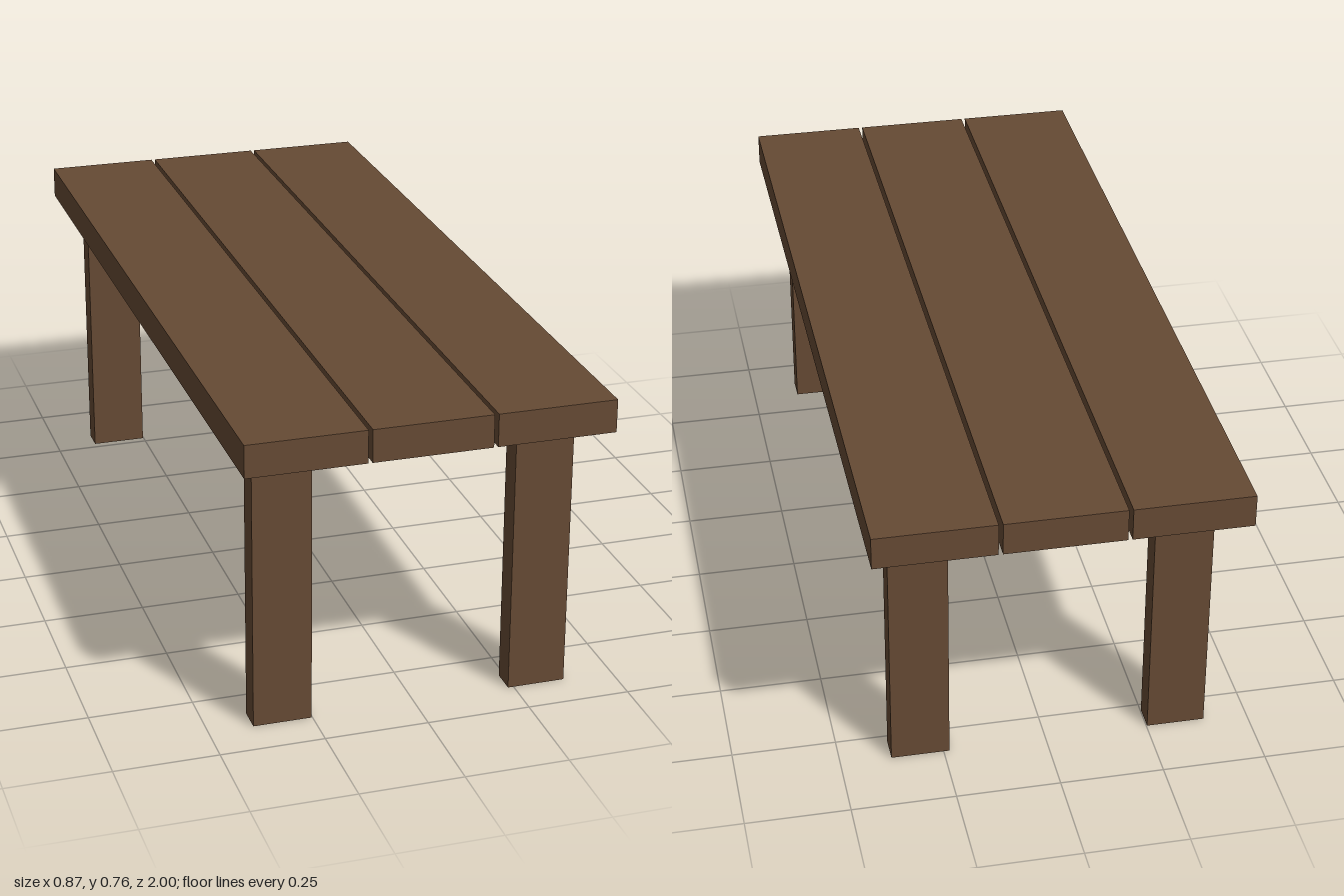
import * as THREE from 'three';

export function createModel() {
  const table = new THREE.Group();
  table.name = 'plankTable';
  const wood = new THREE.MeshStandardMaterial({ color: 0x664a34 });
  wood.name = 'brown wood';

  // Box given by its [min, max] range on each axis
  function board(name, x, y, z) {
    const size = [x, y, z].map(([a, b]) => b - a);
    const mesh = new THREE.Mesh(new THREE.BoxGeometry(...size), wood);
    mesh.position.set(...[x, y, z].map(([a, b]) => (a + b) / 2));
    mesh.name = name;
    table.add(mesh);
  }

  // Three long planks with narrow gaps
  const planks = [['rightPlank', -0.437, -0.153], ['middlePlank', -0.143, 0.142], ['leftPlank', 0.152, 0.437]];
  for (const [name, a, b] of planks) board(name, [a, b], [0.681, 0.761], [-1, 1]);

  // Cross braces under the top
  board('frontBrace', [-0.353, 0.324], [0.622, 0.681], [0.517, 0.659]);
  board('backBrace', [-0.353, 0.324], [0.622, 0.681], [-0.676, -0.534]);

  // Four flat legs
  for (const [end, z] of [['front', [0.837, 0.899]], ['back', [-0.833, -0.771]]]) {
    board(end + 'RightLeg', [-0.393, -0.252], [0, 0.678], z);
    board(end + 'LeftLeg', [0.236, 0.377], [0, 0.678], z);
  }
  return table;
}
